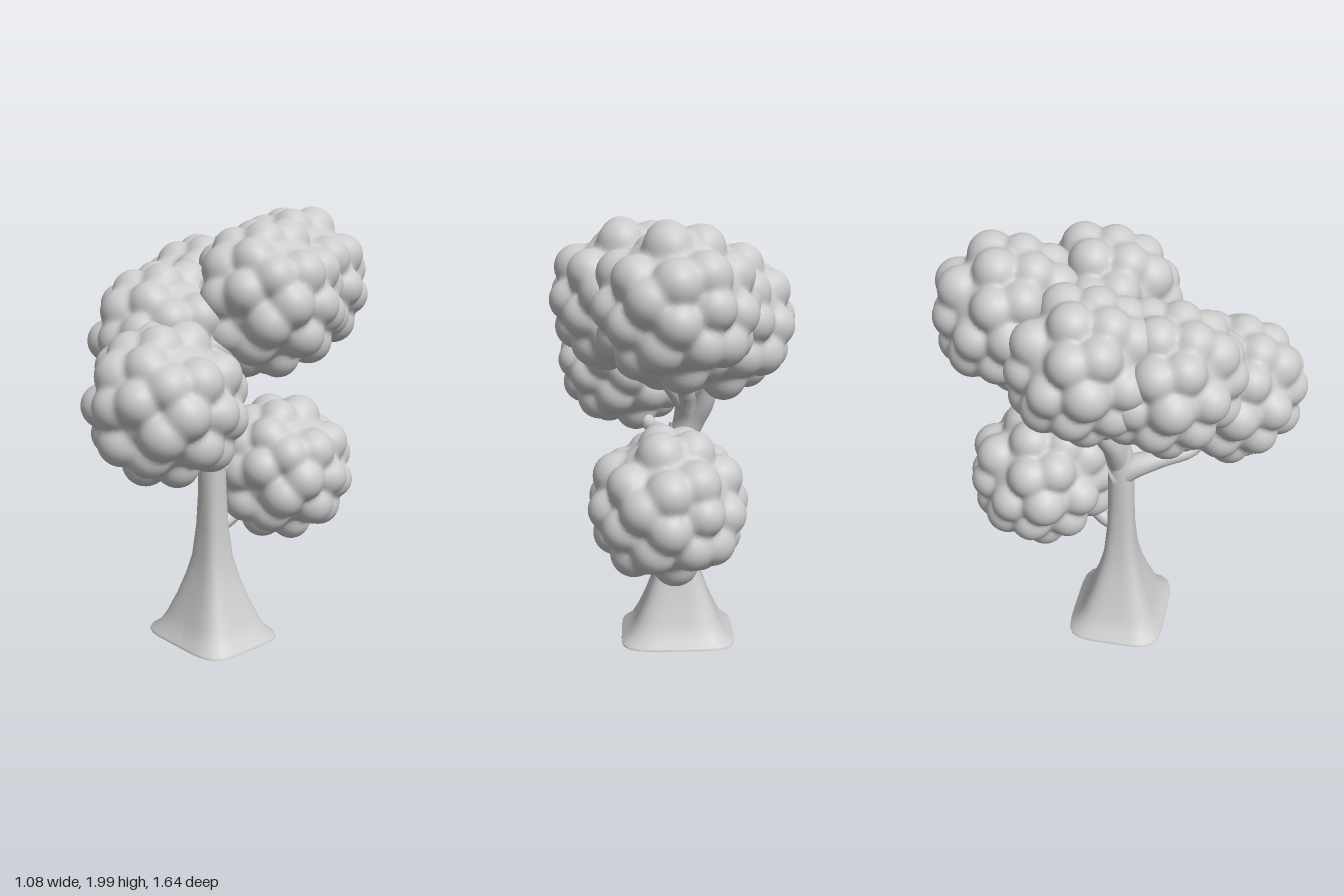
import * as THREE from 'three';
import { mergeVertices } from 'three/addons/utils/BufferGeometryUtils.js';

const grey = () => new THREE.MeshStandardMaterial({ color: 0xcccccc });
const V = (x, y, z) => new THREE.Vector3(x, y, z);

// Knob directions: main ones, their opposites, then fillers wherever a gap is left
function knobDirections() {
  const main = [
    [0, 0.12, 0.99], [0.93, 0.06, 0.36], [0.97, 0, -0.24], [0.86, 0.51, 0.03], [0.87, -0.48, 0.03],
    [0.73, -0.2, -0.64], [0.73, -0.24, 0.64], [0.71, 0.48, 0.51], [0.63, 0.5, -0.58],
    [0.12, 0.93, -0.33], [0.12, 0.97, 0.2], [-0.4, 0.91, -0.1], [-0.45, 0.55, -0.7],
    [-0.6, 0, 0.8], [0.42, 0, 0.9], [-0.18, 0.5, 0.85], [0, -0.45, 0.89],
  ].map(d => V(...d).normalize());
  const fillers = [];
  for (let i = 0; i < 600; i++) {
    const y = 1 - (2 * i + 1) / 600, r = Math.sqrt(1 - y * y), a = i * 2.39996;
    fillers.push(V(r * Math.cos(a), y, r * Math.sin(a)));
  }
  const dirs = [];
  for (const d of [...main, ...main.map(m => m.clone().negate()), ...fillers]) {
    if (dirs.every(o => o.angleTo(d) > 0.46)) dirs.push(d);
  }
  return dirs;
}

// Ball with broad rounded knobs: each vertex goes out to the furthest knob surface, softly blended
function leafBallGeometry() {
  const core = 0.29, reach = 0.257, soft = 0.01;
  const dirs = knobDirections();
  let geo = new THREE.IcosahedronGeometry(1, 22);
  geo.deleteAttribute('uv');
  geo.deleteAttribute('normal');
  geo = mergeVertices(geo, 1e-4);
  const pos = geo.attributes.position, v = V(0, 0, 0);
  for (let i = 0; i < pos.count; i++) {
    v.fromBufferAttribute(pos, i).normalize();
    let sum = Math.exp(core / soft);
    dirs.forEach((d, k) => {
      const knob = 0.098 + 0.005 * Math.sin(k * 2.3);
      const c = v.dot(d);
      const inside = knob * knob - reach * reach * (1 - c * c);
      if (c > 0 && inside > 0) sum += Math.exp((reach * c + Math.sqrt(inside)) / soft) - Math.exp(reach * c / soft);
    });
    v.multiplyScalar(soft * Math.log(sum));
    pos.setXYZ(i, v.x, v.y, v.z);
  }
  geo.computeVertexNormals();
  return geo;
}

// Tapered limb: a tube of radius 1 whose rings are scaled along its length
function limb(name, points, r0, r1) {
  const curve = new THREE.CatmullRomCurve3(points.map(p => V(...p)));
  const rings = 18, sides = 14;
  const geo = new THREE.TubeGeometry(curve, rings, 1, sides);
  const pos = geo.attributes.position, v = V(0, 0, 0);
  for (let i = 0; i < pos.count; i++) {
    const t = Math.floor(i / (sides + 1)) / rings;
    const c = curve.getPointAt(t);
    const r = r1 + (r0 - r1) * Math.pow(1 - t, 1.6);
    v.fromBufferAttribute(pos, i).sub(c).multiplyScalar(r).add(c);
    pos.setXYZ(i, v.x, v.y, v.z);
  }
  geo.computeVertexNormals();
  const mesh = new THREE.Mesh(geo, grey());
  mesh.name = name;
  return mesh;
}

// Flared trunk: rounded square at the foot, becoming round towards the top
function trunk() {
  const profile = [[0, 0.266], [0.012, 0.264], [0.04, 0.228], [0.1, 0.193], [0.2, 0.15], [0.3, 0.115],
    [0.4, 0.088], [0.55, 0.072], [0.7, 0.067], [0.85, 0.068], [0.95, 0.062], [1.04, 0.035]];
  const sides = 40, rows = profile.length - 1;
  const geo = new THREE.CylinderGeometry(1, 1, 1, sides, rows, true);
  const pos = geo.attributes.position;
  for (let i = 0; i < pos.count; i++) {
    const [y, r] = profile[rows - Math.floor(i / (sides + 1))];
    const a = (i % (sides + 1)) / sides * Math.PI * 2;
    const s = Math.sin(a), c = Math.cos(a), n = 2 + 3 * Math.max(0, 1 - y / 0.8);
    const k = r / Math.pow(Math.abs(s) ** n + Math.abs(c) ** n, 1 / n);
    pos.setXYZ(i, -0.025 + s * k, y, 0.016 + c * k * (0.86 + 0.06 * y));
  }
  geo.computeVertexNormals();
  const group = new THREE.Group();
  group.name = 'trunk';
  const bark = new THREE.Mesh(geo, grey());
  bark.name = 'trunkBark';

  // Flat underside
  const foot = new THREE.Shape();
  for (let i = 0; i < sides; i++) {
    const a = i / sides * Math.PI * 2, s = Math.sin(a), c = Math.cos(a);
    const k = 0.266 / Math.pow(Math.abs(s) ** 5 + Math.abs(c) ** 5, 0.2);
    foot[i ? 'lineTo' : 'moveTo'](-0.025 + s * k, 0.016 - c * k * 0.86);
  }
  const base = new THREE.Mesh(new THREE.ShapeGeometry(foot).rotateX(Math.PI / 2), grey());
  base.name = 'trunkUnderside';
  group.add(bark, base);
  return group;
}

export function createModel() {
  const tree = new THREE.Group();
  tree.name = 'tree';
  tree.add(trunk());

  // Branches, each starting inside the wood it grows from
  tree.add(
    limb('mainLimb', [[-0.027, 0.8, 0.015], [-0.035, 0.95, 0.008], [-0.055, 1.07, -0.01], [-0.06, 1.2, -0.09]], 0.056, 0.046),
    limb('frontBranch', [[-0.026, 0.84, -0.01], [-0.02, 0.89, 0.06], [0.03, 0.93, 0.2], [0.1, 0.95, 0.33], [0.18, 1.15, 0.44]], 0.07, 0.024),
    limb('lowBackBranch', [[-0.02, 0.53, 0.01], [-0.01, 0.56, -0.07], [0.02, 0.63, -0.17], [0.03, 0.74, -0.34]], 0.04, 0.025),
    limb('backBranch', [[-0.06, 1.12, -0.04], [-0.05, 1.26, -0.14], [-0.02, 1.42, -0.3], [0, 1.6, -0.45]], 0.045, 0.025),
    limb('leftBranch', [[-0.06, 1.13, -0.05], [0.02, 1.25, -0.1], [0.12, 1.4, -0.12], [0.2, 1.6, -0.12]], 0.042, 0.025),
    limb('rightBranch', [[-0.035, 0.92, 0.005], [-0.1, 1.05, -0.01], [-0.15, 1.16, -0.05], [-0.19, 1.5, -0.1]], 0.054, 0.036),
    limb('frontUpperBranch', [[-0.055, 1.08, -0.02], [-0.07, 1.17, 0.03], [-0.09, 1.26, 0.1], [-0.11, 1.42, 0.2]], 0.042, 0.025));

  // Leaf balls
  const ball = leafBallGeometry();
  const balls = {
    frontLeaves: [0.195, 1.255, 0.465],
    lowBackLeaves: [0.03, 0.77, -0.37],
    backLeaves: [0, 1.645, -0.47],
    leftLeaves: [0.19, 1.63, -0.11],
    rightLeaves: [-0.19, 1.535, -0.11],
    frontUpperLeaves: [-0.09, 1.45, 0.22],
  };
  for (const [name, p] of Object.entries(balls)) {
    const mesh = new THREE.Mesh(ball, grey());
    mesh.name = name;
    mesh.position.set(...p);
    tree.add(mesh);
  }
  return tree;
}
